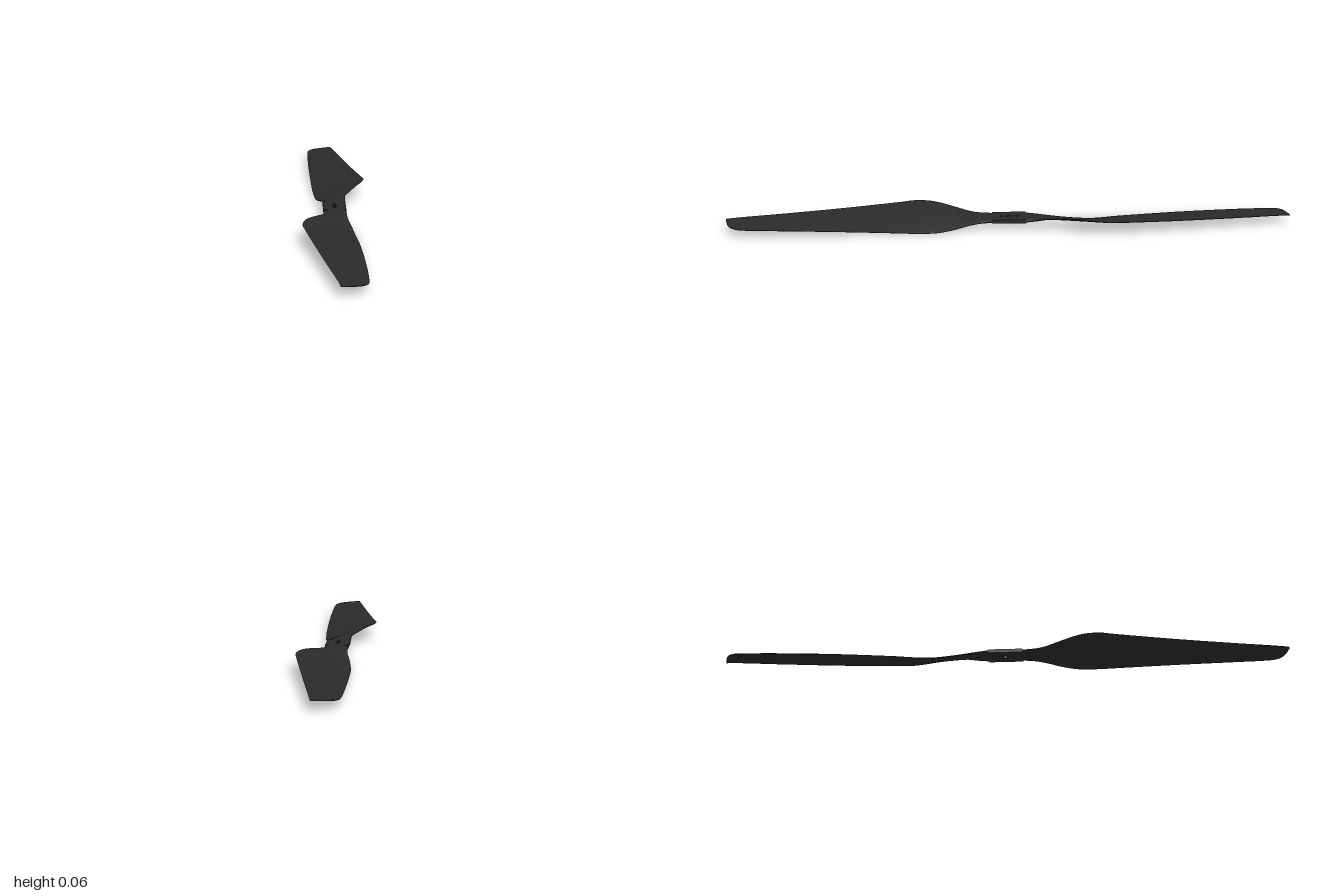
import * as THREE from 'three';
import { toCreasedNormals } from 'three/addons/utils/BufferGeometryUtils.js';

// Blade stations: z, trailing x, leading x, trailing y, leading y, thickness, squareness
const stations = [
  [0.06, -0.040, 0.041, 0.0345, 0.0345, 0.013, 10],
  [0.10, -0.040, 0.042, 0.038, 0.030, 0.013, 6],
  [0.14, -0.043, 0.046, 0.044, 0.023, 0.013, 3],
  [0.20, -0.069, 0.058, 0.053, 0.010, 0.013, 2.2],
  [0.25, -0.092, 0.065, 0.059, 0.003, 0.013, 2],
  [0.29, -0.107, 0.069, 0.060, 0.002, 0.012, 2],
  [0.34, -0.114, 0.073, 0.058, 0.004, 0.012, 2],
  [0.40, -0.105, 0.077, 0.054, 0.008, 0.011, 2],
  [0.60, -0.070, 0.085, 0.046, 0.018, 0.009, 2],
  [0.80, -0.035, 0.090, 0.041, 0.025, 0.007, 2],
  [0.92, -0.014, 0.090, 0.039, 0.028, 0.005, 2],
  [0.96, -0.007, 0.084, 0.038, 0.030, 0.004, 2],
  [0.985, -0.003, 0.060, 0.037, 0.032, 0.004, 2],
  [1.00, 0.000, 0.006, 0.036, 0.035, 0.003, 2],
];

function bladeGeometry() {
  const rows = 78, half = 12, ring = half * 2;
  const columns = stations[0].map((_, c) =>
    new THREE.SplineCurve(stations.map((s, i) => new THREE.Vector2(i, s[c]))));
  const pos = [], index = [];
  for (let i = 0; i <= rows; i++) {
    const [z, xt, xl, yt, yl, thick, square] = columns.map(c => c.getPoint(i / rows).y);
    for (let j = 0; j < ring; j++) {
      // over the top from trailing to leading edge, then back underneath
      const upper = j <= half;
      const s = -Math.cos(Math.PI * j / half);
      const bulge = 1 - Math.pow(Math.abs(s), square);
      const f = (s + 1) / 2;
      const edge = 0.0012;
      const off = (upper ? 1 : -1) * (thick / 2 * bulge + (1 - bulge) * edge);
      pos.push(xt + (xl - xt) * f, yt + (yl - yt) * f + off, z);
    }
  }
  for (let i = 0; i < rows; i++) {
    for (let j = 0; j < ring; j++) {
      const k = (j + 1) % ring;
      const a = i * ring + j, b = i * ring + k;
      index.push(a, a + ring, b, b, a + ring, b + ring);
    }
  }
  // close the tip
  const last = rows * ring;
  for (let j = 1; j < ring - 1; j++) index.push(last, last + j + 1, last + j);
  const g = new THREE.BufferGeometry();
  g.setAttribute('position', new THREE.Float32BufferAttribute(pos, 3));
  g.setIndex(index);
  return toCreasedNormals(g, 0.8);
}

function hubGeometry() {
  const shape = new THREE.Shape([
    new THREE.Vector2(-0.041, -0.06), new THREE.Vector2(0.040, -0.06),
    new THREE.Vector2(0.041, 0.06), new THREE.Vector2(-0.040, 0.06),
  ]);
  // shaft bore and two bolt holes
  for (const [y, r] of [[0, 0.009], [0.027, 0.005], [-0.027, 0.005]]) {
    const hole = new THREE.Path();
    hole.absarc(0, y, r, 0, Math.PI * 2, true);
    shape.holes.push(hole);
  }
  const g = new THREE.ExtrudeGeometry(shape, { depth: 0.013, bevelEnabled: false, curveSegments: 20 });
  g.rotateX(Math.PI / 2);
  g.translate(0, 0.041, 0);
  return g;
}

export function createModel() {
  const group = new THREE.Group();
  group.name = 'propeller';
  const carbon = new THREE.MeshStandardMaterial({ color: 0x2a2a2a });
  carbon.name = 'dark carbon';

  const hub = new THREE.Mesh(hubGeometry(), carbon);
  hub.name = 'hub';
  group.add(hub);

  // two identical blades, half a turn apart
  const geometry = bladeGeometry();
  ['frontBlade', 'backBlade'].forEach((name, i) => {
    const blade = new THREE.Mesh(geometry, carbon);
    blade.name = name;
    blade.rotation.y = i * Math.PI;
    group.add(blade);
  });
  return group;
}
